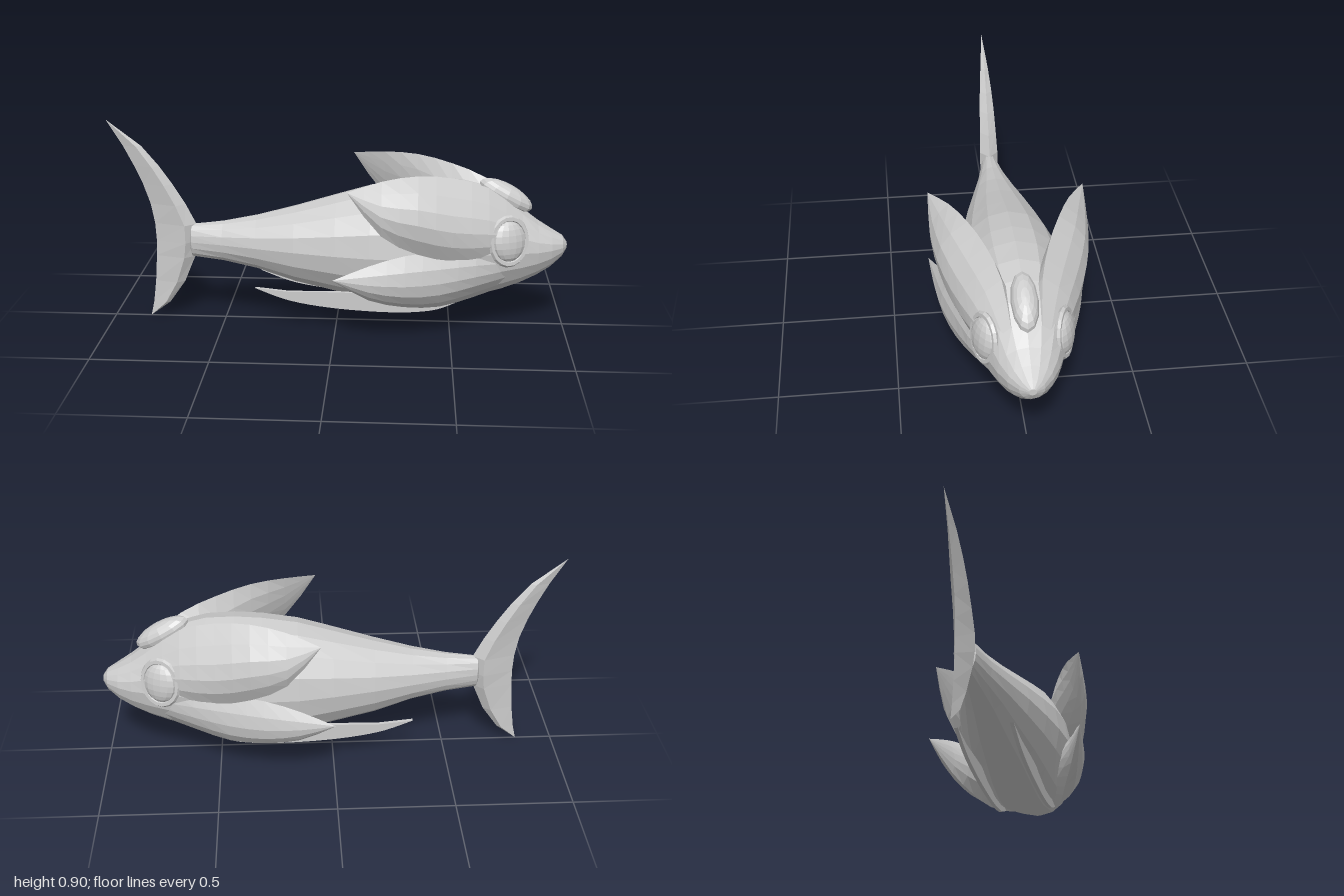
import * as THREE from 'three';

const V = (x, y, z) => new THREE.Vector3(x, y, z);
const material = new THREE.MeshStandardMaterial({ color: 0xcccccc, flatShading: true });

// Skin a list of closed rings that all have the same number of points
function loft(rings) {
  const n = rings[0].length;
  const index = [];
  for (let i = 0; i < rings.length - 1; i++) {
    for (let j = 0; j < n; j++) {
      const a = i * n + j, b = i * n + (j + 1) % n;
      index.push(a, a + n, b, b, a + n, b + n);
    }
  }
  const g = new THREE.BufferGeometry().setFromPoints(rings.flat());
  g.setIndex(index);
  g.computeVertexNormals();
  return g;
}

const mirrorRings = rings => rings.map(r => r.map(p => V(p.x, p.y, -p.z)).reverse());

function add(group, name, geometry) {
  const mesh = new THREE.Mesh(geometry, material);
  mesh.name = name;
  group.add(mesh);
  return mesh;
}

// Leaf fin: rows of [x, outer y, z, top y, z, inner y, z, bottom y, z]
function leafRings(rows, steps = 10) {
  const rails = [1, 3, 5, 7].map(k =>
    new THREE.CatmullRomCurve3(rows.map(r => V(r[0], r[k], r[k + 1]))));
  const through = (a, m, b) => {
    const c = m.clone().multiplyScalar(2).sub(a.clone().add(b).multiplyScalar(0.5));
    return new THREE.QuadraticBezierCurve3(a, c, b).getPoints(5).slice(0, -1);
  };
  return Array.from({ length: steps + 1 }, (_, i) => {
    const [outer, top, inner, bottom] = rails.map(r => r.getPoint(i / steps));
    return [...through(bottom, outer, top), ...through(top, inner, bottom)];
  });
}

export function createModel() {
  const fish = new THREE.Group();
  fish.name = 'fish';

  // Body sections: x, top y, bottom y, half width, y of widest point
  const sections = [
    [-0.66, 0.37, 0.36, 0.002, 0.365], [-0.64, 0.44, 0.29, 0.04, 0.365],
    [-0.5, 0.456, 0.275, 0.07, 0.365], [-0.35, 0.485, 0.245, 0.11, 0.365],
    [-0.18, 0.53, 0.19, 0.155, 0.365], [0, 0.585, 0.15, 0.193, 0.365],
    [0.15, 0.63, 0.112, 0.218, 0.365], [0.3, 0.655, 0.09, 0.23, 0.37],
    [0.42, 0.665, 0.094, 0.23, 0.375], [0.54, 0.662, 0.125, 0.215, 0.38],
    [0.64, 0.638, 0.152, 0.195, 0.385], [0.72, 0.6, 0.175, 0.177, 0.385],
    [0.8, 0.54, 0.205, 0.15, 0.38], [0.87, 0.485, 0.24, 0.122, 0.375],
    [0.93, 0.447, 0.278, 0.09, 0.375], [0.98, 0.418, 0.325, 0.05, 0.375],
    [1, 0.39, 0.36, 0.015, 0.375],  [1, 0.375, 0.375, 0, 0.375],
  ];
  const sides = 16;
  add(fish, 'body', loft(sections.map(([x, top, bottom, w, mid]) =>
    Array.from({ length: sides }, (_, j) => {
      const a = (j / sides) * Math.PI * 2, s = Math.sin(a);
      return V(x, mid + s * (s > 0 ? top - mid : mid - bottom), w * Math.cos(a));
    }))));

  // Tail: y, leading x, trailing x, half thickness
  const tail = [
    [0.003, -0.84, -0.84, 0], [0.07, -0.75, -0.825, 0.016], [0.17, -0.68, -0.812, 0.024],
    [0.29, -0.63, -0.803, 0.036], [0.36, -0.62, -0.8, 0.042], [0.44, -0.62, -0.804, 0.042],
    [0.53, -0.665, -0.82, 0.038], [0.62, -0.72, -0.85, 0.034], [0.7, -0.775, -0.885, 0.028],
    [0.79, -0.85, -0.93, 0.018], [0.905, -1, -1, 0],
  ];
  add(fish, 'tailFin', loft(tail.map(([y, lead, trail, t]) => {
    const ridge = lead + (trail - lead) * 0.25;
    return [V(lead, y, 0), V(ridge, y, t), V(trail, y, 0), V(ridge, y, -t)];
  })));

  // Paired leaf fins that sweep back from the head
  const upperFin = leafRings([
    [0.06, 0.69, 0.33, 0.69, 0.33, 0.69, 0.33, 0.69, 0.33],
    [0.2, 0.61, 0.328, 0.717, 0.25, 0.6, 0.27, 0.5, 0.312],
    [0.35, 0.58, 0.308, 0.724, 0.185, 0.56, 0.18, 0.41, 0.27],
    [0.5, 0.54, 0.262, 0.7, 0.125, 0.5, 0.1, 0.37, 0.23],
    [0.65, 0.51, 0.2, 0.648, 0.08, 0.5, 0.05, 0.37, 0.185],
    [0.8, 0.46, 0.125, 0.53, 0.06, 0.45, 0.04, 0.4, 0.12],
  ]);
  const lowerFin = leafRings([
    [0, 0.31, 0.335, 0.31, 0.335, 0.31, 0.335, 0.31, 0.335],
    [0.15, 0.27, 0.322, 0.362, 0.295, 0.28, 0.26, 0.2, 0.268],
    [0.3, 0.25, 0.3, 0.4, 0.265, 0.27, 0.17, 0.15, 0.21],
    [0.45, 0.25, 0.26, 0.41, 0.23, 0.26, 0.1, 0.138, 0.165],
    [0.6, 0.27, 0.208, 0.4, 0.195, 0.27, 0.05, 0.165, 0.11],
    [0.76, 0.29, 0.135, 0.37, 0.14, 0.29, 0.03, 0.215, 0.07],
  ]);

  // Thin curved blade under the belly
  const blade = new THREE.Shape();
  blade.moveTo(-0.35, 0.19);
  blade.splineThru([[-0.2, 0.135], [0, 0.103], [0.25, 0.09], [0.42, 0.103], [0.52, 0.14]]
    .map(p => new THREE.Vector2(...p)));
  blade.lineTo(0.3, 0.17);
  blade.lineTo(0, 0.178);
  blade.lineTo(-0.2, 0.175);
  const bladeGeometry = new THREE.ExtrudeGeometry(blade,
    { depth: 0.016, bevelEnabled: false, curveSegments: 4 });
  bladeGeometry.translate(0, 0, -0.008);

  for (const side of [1, -1]) {
    const name = side > 0 ? 'left' : 'right';
    const rings = r => loft(side > 0 ? r : mirrorRings(r));
    add(fish, name + 'UpperFin', rings(upperFin));
    add(fish, name + 'LowerFin', rings(lowerFin));
    add(fish, name + 'BellyFin', bladeGeometry).position.z = side * 0.116;

    // Eye bulging from a raised rim, turned slightly forward
    const eye = new THREE.Group();
    eye.name = name + 'Eye';
    eye.position.set(0.737, 0.438, side * 0.158);
    eye.lookAt(0.737 + 0.42, 0.438 + 0.14, side * (0.158 + 0.9));
    add(eye, 'eyeball', new THREE.SphereGeometry(1, 14, 10)).scale.set(0.078, 0.088, 0.035);
    add(eye, 'eyeRim', new THREE.TorusGeometry(0.085, 0.013, 6, 18)).scale.set(0.98, 1.15, 1);
    fish.add(eye);
  }

  // Bump on the forehead
  const bump = add(fish, 'foreheadBump', new THREE.SphereGeometry(1, 12, 10));
  bump.scale.set(0.128, 0.05, 0.055);
  bump.rotation.z = -0.5;
  bump.position.set(0.73, 0.595, 0);

  return fish;
}
